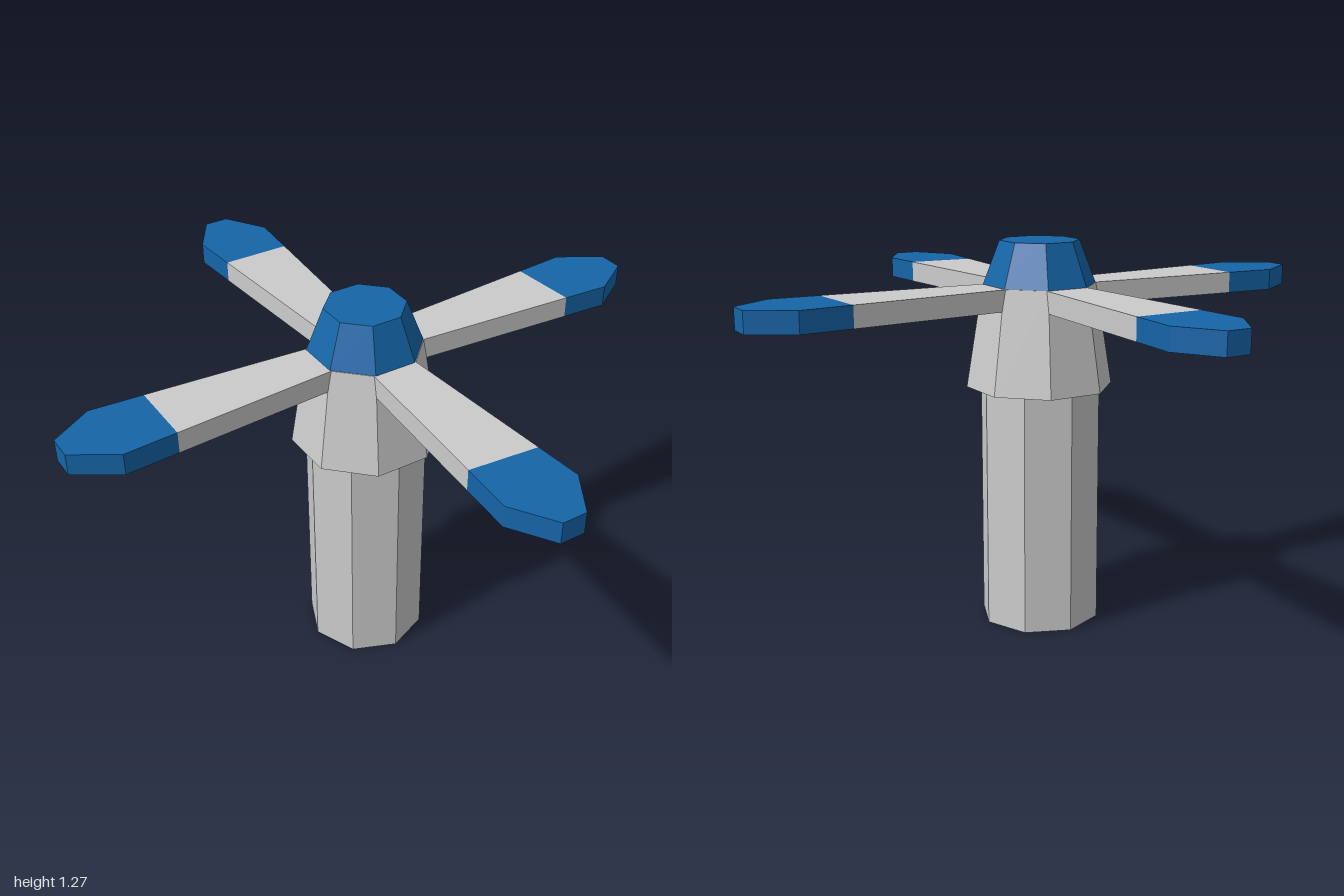
import * as THREE from 'three';

const grey = new THREE.MeshStandardMaterial({ color: 0xcccccc, flatShading: true });
const blue = new THREE.MeshStandardMaterial({ color: 0x1565a8, flatShading: true });

const BLADE_TOP = 1.135;
const BLADE_THICKNESS = 0.07;

function addMesh(parent, name, geometry, material) {
  const mesh = new THREE.Mesh(geometry, material);
  mesh.name = name;
  parent.add(mesh);
  return mesh;
}

// Octagonal frustum between two heights, sized by corner radius
function octagon(rTop, rBottom, y0, y1, turn = 0) {
  return new THREE.CylinderGeometry(rTop, rBottom, y1 - y0, 8)
    .rotateY(turn)
    .translate(0, (y0 + y1) / 2, 0);
}

// Horizontal slab from an outline of [x, z] points
function slab(points) {
  const shape = new THREE.Shape(points.map(([x, z]) => new THREE.Vector2(x, z)));
  return new THREE.ExtrudeGeometry(shape, { depth: BLADE_THICKNESS, bevelEnabled: false })
    .rotateX(Math.PI / 2)
    .translate(0, BLADE_TOP, 0);
}

// Half width of the blade, flaring outwards
const halfWidth = (x) => 0.075 + (x - 0.17) * 0.071;

// One blade along +x: near and far are where the tip colour starts on its -z and +z edges
function createBlade(near, far) {
  const blade = new THREE.Group();
  const root = 0.1, shoulder = 0.865;
  const seamA = [near, -halfWidth(near)];
  const seamB = [far, halfWidth(far)];
  addMesh(blade, 'bladeArm',
    slab([[root, -halfWidth(root)], seamA, seamB, [root, halfWidth(root)]]), grey);
  addMesh(blade, 'bladeTip',
    slab([seamA, [shoulder, -halfWidth(shoulder)], [1, -0.04], [1, 0.04],
      [shoulder, halfWidth(shoulder)], seamB]), blue);
  return blade;
}

export function createModel() {
  const model = new THREE.Group();
  model.name = 'rotorTower';
  const eighth = Math.PI / 8;
  const toCorner = 1 / Math.cos(eighth);

  // Column has corners on the axes; collar and cap have flats facing them
  addMesh(model, 'column', octagon(0.2, 0.2, 0, 0.82), grey);
  addMesh(model, 'collar',
    octagon(0.172 * toCorner, 0.222 * toCorner, 0.8, BLADE_TOP, eighth), grey);
  addMesh(model, 'cap',
    octagon(0.12 * toCorner, 0.17 * toCorner, BLADE_TOP, 1.275, eighth), blue);

  // Four blades: right, back, left, front
  const seams = [[0.695, 0.71], [0.7, 0.7], [0.695, 0.695], [0.71, 0.69]];
  seams.forEach(([near, far], i) => {
    const blade = createBlade(near, far);
    blade.name = 'blade' + (i + 1);
    blade.rotation.y = i * Math.PI / 2;
    model.add(blade);
  });
  return model;
}
